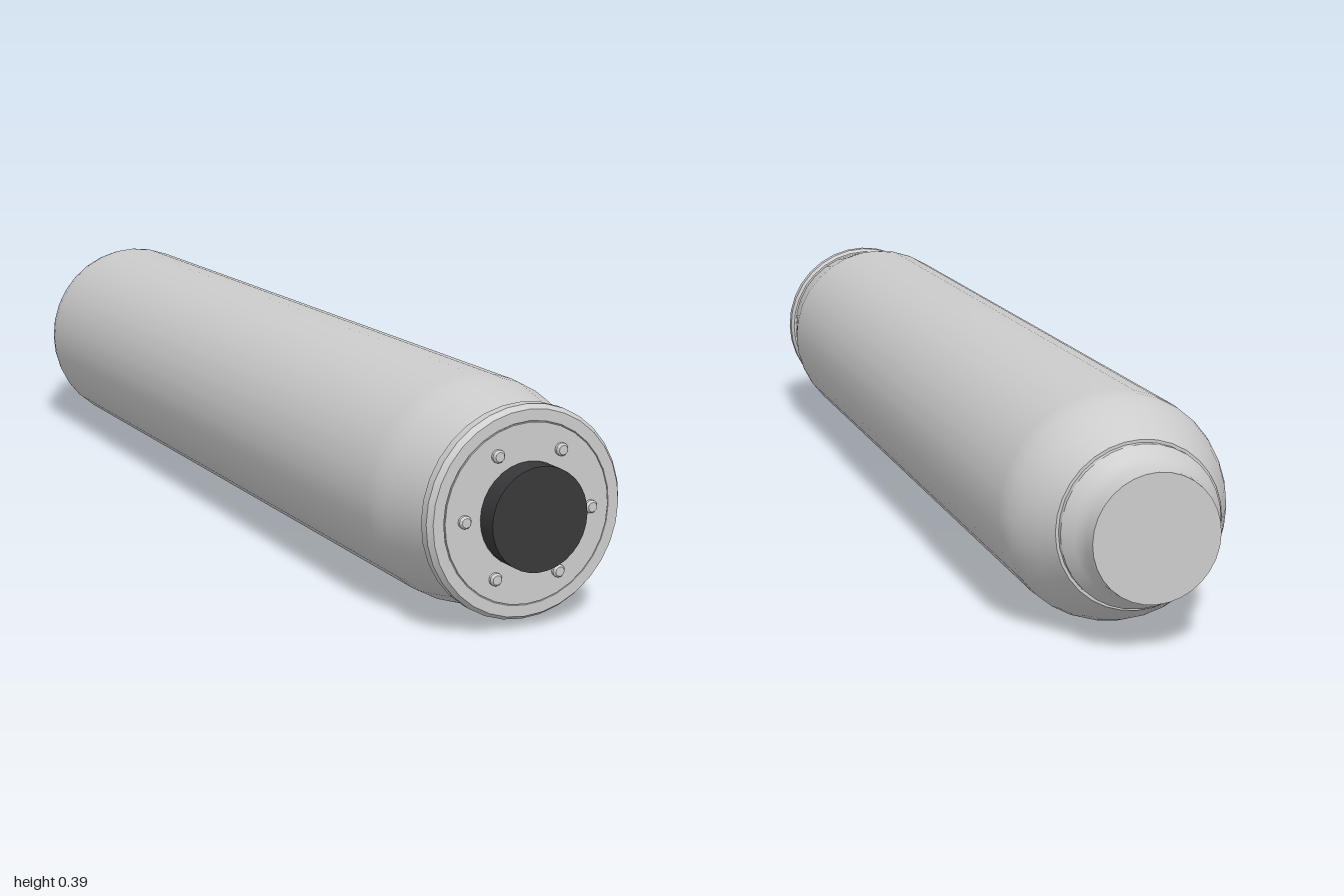
import * as THREE from 'three';
import { toCreasedNormals } from 'three/addons/utils/BufferGeometryUtils.js';

const AXIS_Y = 0.197;
const grey = new THREE.MeshStandardMaterial({ color: 0xcccccc });
const black = new THREE.MeshStandardMaterial({ color: 0x38383a });

// Turned part along z: profile of [radius, z] pairs, from back to front
function turned(name, profile, material = grey, segments = 32) {
  const points = profile.map(([r, z]) => new THREE.Vector2(r, z));
  const geometry = new THREE.LatheGeometry(points, segments).rotateX(Math.PI / 2);
  const mesh = new THREE.Mesh(toCreasedNormals(geometry, 0.45), material);
  mesh.name = name;
  return mesh;
}

export function createModel() {
  const model = new THREE.Group();
  model.name = 'cylinderAssembly';
  const tube = new THREE.Group();
  tube.name = 'tube';
  tube.position.y = AXIS_Y;
  model.add(tube);

  // Long body: rounded shoulder at the back, gentle taper at the front
  tube.add(turned('body', [
    [0, -0.92], [0.142, -0.92], [0.163, -0.882], [0.179, -0.852], [0.189, -0.826],
    [0.194, -0.805], [0.195, -0.785], [0.195, 0.775], [0.1935, 0.8], [0.189, 0.825],
    [0.168, 0.932], [0, 0.932],
  ]));

  // Flared neck closing the back end
  tube.add(turned('neck', [
    [0, -1], [0.108, -1], [0.11, -0.975], [0.114, -0.961], [0.121, -0.95],
    [0.131, -0.939], [0.137, -0.93], [0.137, -0.915], [0, -0.915],
  ]));

  // Front flange with bevelled rims
  tube.add(turned('flange', [
    [0, 0.927], [0.173, 0.927], [0.179, 0.933], [0.179, 0.95],
    [0.172, 0.96], [0.153, 0.96], [0.152, 0.958], [0, 0.958],
  ]));

  // End plate set into the flange
  tube.add(turned('endPlate', [[0, 0.94], [0.151, 0.94], [0.151, 0.961], [0, 0.961]]));

  // Dark plug
  tube.add(turned('plug', [[0, 0.95], [0.0875, 0.95], [0.0875, 1], [0, 1]], black));

  // Ring of six bolts
  for (let i = 0; i < 6; i++) {
    const angle = (i * Math.PI) / 3;
    const bolt = turned('bolt', [
      [0, 0.955], [0.011, 0.955], [0.011, 0.966], [0.008, 0.97], [0, 0.97],
    ], grey, 12);
    bolt.position.set(0.117 * Math.cos(angle), 0.117 * Math.sin(angle), 0);
    tube.add(bolt);
  }

  return model;
}
